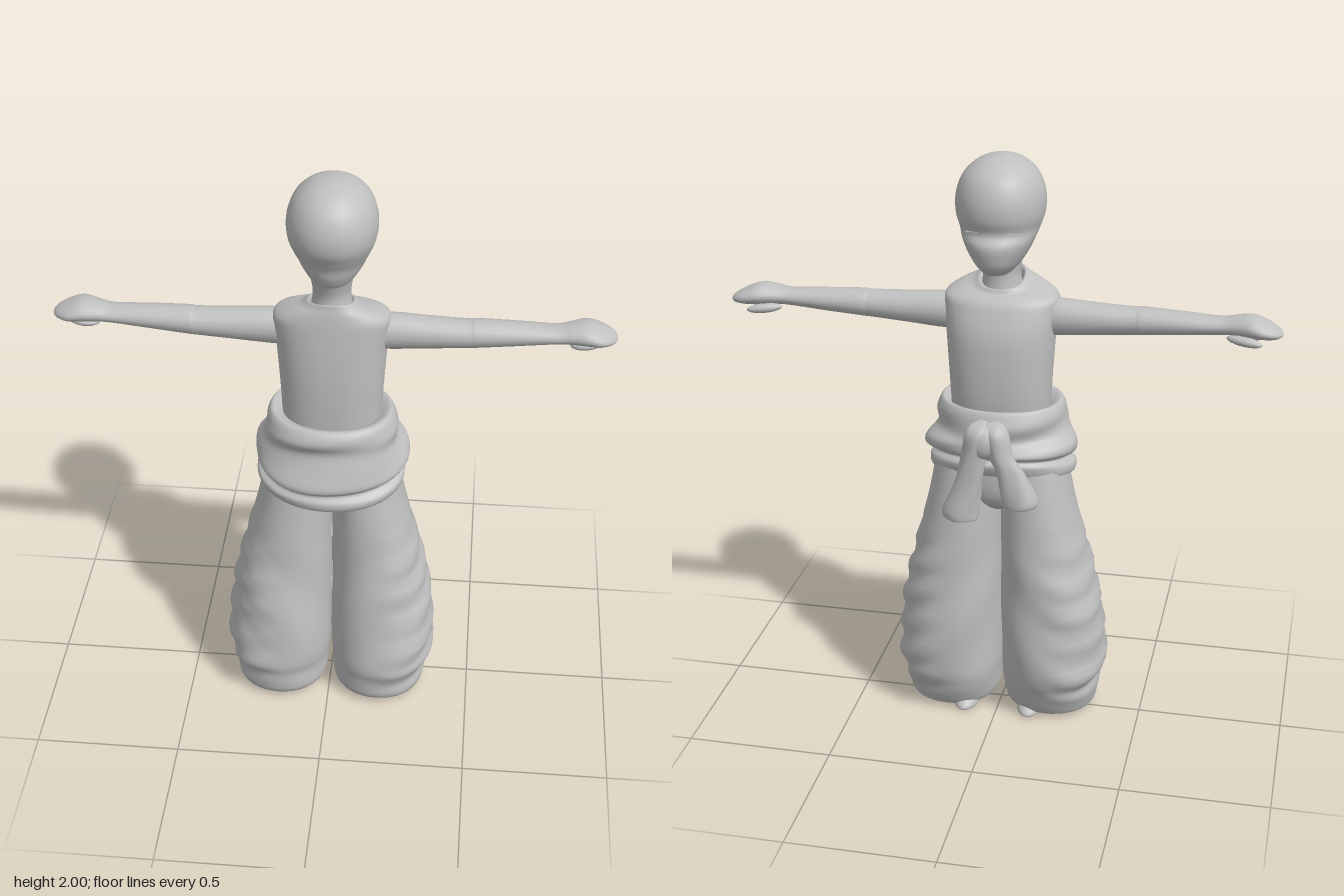
import * as THREE from 'three';
import { mergeVertices } from 'three/addons/utils/BufferGeometryUtils.js';

const cloth = new THREE.MeshStandardMaterial({ color: 0xc0c0c0, side: THREE.DoubleSide });
cloth.name = 'plain grey';

// Smooth skin over rings [y, cx, cz, rx, rz, tilt], listed along the profile.
// power squares the cross-section, fold(angle, y) adds cloth creases.
function loft(rings, { sides = 36, steps = 4, power = 2, fold = () => 0 } = {}) {
  const rows = [];
  const cr = (a, b, c, d, t) =>
    0.5 * (2 * b + (c - a) * t + (2 * a - 5 * b + 4 * c - d) * t * t + (3 * b - a - 3 * c + d) * t * t * t);
  const at = i => rings[Math.min(Math.max(i, 0), rings.length - 1)];
  for (let i = 0; i < rings.length - 1; i++)
    for (let s = 0; s < steps; s++)
      rows.push([0, 1, 2, 3, 4, 5].map(k =>
        cr(at(i - 1)[k] ?? 0, at(i)[k] ?? 0, at(i + 1)[k] ?? 0, at(i + 2)[k] ?? 0, s / steps)));
  rows.push([...rings[rings.length - 1], 0].slice(0, 6));
  const pos = [], idx = [];
  const shape = v => Math.sign(v) * Math.abs(v) ** (2 / power);
  rows.forEach(([y, cx, cz, rx, rz, tilt], i) => {
    for (let j = 0; j < sides; j++) {
      const a = (j / sides) * Math.PI * 2, f = fold(a, y);
      const dz = (Math.max(rz, 0) + f) * shape(Math.sin(a));
      pos.push(cx + (Math.max(rx, 0) + f) * shape(Math.cos(a)), y + tilt * dz, cz + dz);
      if (i < rows.length - 1) {
        const p = i * sides + j, q = i * sides + ((j + 1) % sides);
        idx.push(p, p + sides, q, q, p + sides, q + sides);
      }
    }
  });
  const g = new THREE.BufferGeometry();
  g.setAttribute('position', new THREE.Float32BufferAttribute(pos, 3));
  g.setIndex(idx);
  g.computeVertexNormals();
  return g;
}

// Mirrored copy across x with its corners put back in order
function mirror(g) {
  const m = g.clone().scale(-1, 1, 1);
  const n = m.index.array;
  for (let i = 0; i < n.length; i += 3) [n[i], n[i + 1]] = [n[i + 1], n[i]];
  m.computeVertexNormals();
  return m;
}

export function createModel() {
  const model = new THREE.Group();
  const add = (name, geometry) => {
    const mesh = new THREE.Mesh(geometry, cloth);
    mesh.name = name;
    model.add(mesh);
  };
  const pair = (name, g) => {
    add(name + 'Left', g);
    add(name + 'Right', mirror(g));
  };

  // Bald head, facing -z, with a flat brow and forward chin
  add('head', loft([
    [1.635, 0, -0.045, 0.005, 0.01], [1.637, 0, -0.045, 0.045, 0.075, 0.1], [1.66, 0, -0.045, 0.072, 0.125],
    [1.7, 0, -0.04, 0.098, 0.146], [1.74, 0, -0.036, 0.117, 0.153], [1.775, 0, -0.017, 0.13, 0.152],
    [1.82, 0, -0.013, 0.143, 0.17], [1.88, 0, -0.012, 0.143, 0.17], [1.94, 0, -0.012, 0.12, 0.145],
    [1.98, 0, -0.008, 0.077, 0.095], [1.997, 0, -0.005, 0.03, 0.037], [2, 0, -0.005, 0, 0],
  ], { power: 2.1 }));
  add('neck', loft([
    [1.53, 0, 0.01, 0.075, 0.08], [1.6, 0, 0.005, 0.062, 0.067], [1.65, 0, 0.005, 0.066, 0.075],
    [1.72, 0, 0.01, 0.08, 0.1],
  ]));

  // Narrow closed eyes as thin lens plates
  const lens = new THREE.Shape();
  lens.moveTo(-0.026, 0);
  lens.quadraticCurveTo(0, 0.004, 0.026, 0.003);
  lens.quadraticCurveTo(0, -0.014, -0.026, 0);
  const eye = mergeVertices(new THREE.ExtrudeGeometry(lens, { depth: 0.008, bevelEnabled: false }));
  eye.rotateY(Math.PI - 0.42).translate(0.062, 1.779, -0.148);
  pair('eye', eye);

  // Sleeveless top with a raised, sloping collar
  add('top', loft([
    [1.1, 0, -0.005, 0.165, 0.13], [1.2, 0, -0.01, 0.168, 0.14], [1.32, 0, -0.01, 0.175, 0.142],
    [1.42, 0, -0.008, 0.182, 0.136], [1.5, 0, 0.002, 0.19, 0.12], [1.535, 0, 0.008, 0.186, 0.11, 0.05],
    [1.56, 0, 0.015, 0.145, 0.098, 0.15], [1.575, 0, 0.018, 0.1, 0.09, 0.25],
    [1.59, 0, 0.02, 0.076, 0.085, 0.28], [1.58, 0, 0.02, 0.066, 0.075, 0.28], [1.54, 0, 0.015, 0.06, 0.065, 0.2],
  ], { power: 2.4 }));

  // Outstretched arm, lofted upright then laid along +x (cx is minus the height)
  const arm = loft([
    [0.13, -1.465, 0, 0.06, 0.055], [0.2, -1.467, -0.003, 0.062, 0.056], [0.32, -1.468, -0.003, 0.053, 0.055],
    [0.44, -1.47, -0.003, 0.046, 0.052], [0.47, -1.472, -0.004, 0.046, 0.053], [0.6, -1.475, -0.009, 0.038, 0.049],
    [0.72, -1.478, -0.012, 0.029, 0.046], [0.77, -1.483, -0.015, 0.032, 0.053], [0.82, -1.485, -0.02, 0.035, 0.066],
    [0.865, -1.477, -0.022, 0.028, 0.065], [0.9, -1.47, -0.025, 0.018, 0.045], [0.917, -1.467, -0.027, 0.007, 0.02],
    [0.92, -1.467, -0.027, 0, 0],
  ], { sides: 20 }).rotateZ(-Math.PI / 2);
  pair('arm', arm);
  // Thumb and curled fingers under the palm
  const bump = (len, thick, deep, x, y, z, turn, dip) =>
    new THREE.SphereGeometry(1, 16, 10).scale(len, thick, deep).rotateY(turn).rotateZ(dip).translate(x, y, z);
  pair('thumb', bump(0.06, 0.016, 0.02, 0.8, 1.445, -0.062, 0.2, -0.1));
  pair('fingers', bump(0.055, 0.018, 0.035, 0.82, 1.451, -0.008, 0, 0.15));

  // Baggy trouser legs with diagonal creases, tucked in at the hem
  const legRings = [
    [0.1, 0.12, 0.02, 0.06, 0.08], [0.035, 0.15, 0.03, 0.11, 0.125], [0.014, 0.175, 0.038, 0.145, 0.15],
    [0.04, 0.176, 0.04, 0.163, 0.172], [0.11, 0.176, 0.028, 0.168, 0.19], [0.19, 0.184, 0.025, 0.181, 0.208],
    [0.4, 0.175, 0.01, 0.173, 0.195], [0.6, 0.154, 0.002, 0.152, 0.176], [0.8, 0.128, 0, 0.126, 0.163],
    [0.95, 0.11, 0, 0.115, 0.15],
  ];
  const creases = seed => (a, y) => {
    const amount = 0.009 * THREE.MathUtils.smoothstep(y, 0.04, 0.12) * (1 - THREE.MathUtils.smoothstep(y, 0.5, 0.8));
    const wave = Math.sin(y * 27 + 2.2 * Math.sin(a + seed) + seed);
    return amount * (1 - 2 * Math.abs(wave) ** 3) * Math.max(0, Math.cos(a)) ** 0.5
      + 0.5 * amount * Math.sin(3 * a + y * 18 + seed) * Math.abs(Math.sin(a));
  };
  const leg = seed => loft(legRings, { steps: 6, sides: 40, power: 2.15, fold: creases(seed) });
  add('trouserLegLeft', leg(0.6));
  add('trouserLegRight', mirror(leg(2.3)));
  add('trouserSeat', loft([
    [0.76, 0, 0, 0, 0], [0.79, 0, 0, 0.06, 0.09], [0.86, 0, 0, 0.17, 0.145], [1, 0, 0, 0.2, 0.15],
  ]));

  // Feet just showing beneath the hems
  const foot = loft([
    [0, 0.115, -0.03, 0, 0], [0.001, 0.115, -0.03, 0.042, 0.095], [0.015, 0.115, -0.03, 0.05, 0.105],
    [0.04, 0.115, -0.02, 0.045, 0.085], [0.08, 0.11, 0.01, 0.04, 0.05], [0.16, 0.11, 0.02, 0.04, 0.045],
  ], { sides: 24 });
  pair('foot', foot);

  // Jacket wrapped round the hips, hanging lower at +z
  add('hipWrap', loft([
    [0.95, 0, 0.01, 0.19, 0.14, -0.2], [0.915, 0, 0.015, 0.23, 0.175, -0.2], [0.912, 0, 0.02, 0.247, 0.192, -0.2],
    [0.945, 0, 0.02, 0.25, 0.203, -0.2], [0.967, 0, 0.018, 0.228, 0.188, -0.2], [0.99, 0, 0.015, 0.258, 0.207, -0.16],
    [1.03, 0, 0.008, 0.254, 0.194, -0.1], [1.075, 0, 0.008, 0.224, 0.178, 0], [1.12, 0, 0.012, 0.221, 0.187, 0],
    [1.155, 0, 0.012, 0.212, 0.178, 0], [1.172, 0, 0.008, 0.196, 0.16, 0], [1.15, 0, 0, 0.16, 0.13, 0],
  ], {
    sides: 48, power: 2.1,
    fold: (a, y) => 0.006 * Math.sin(3 * a + y * 40) * THREE.MathUtils.smoothstep(y, 0.9, 0.98)
      * (1 - THREE.MathUtils.smoothstep(y, 1.1, 1.16)),
  }));

  // Knotted sleeves hanging at -z, with open flared cuffs
  const sleeve = (x, bottom, lean) => loft([
    [bottom + 0.07, x, -0.195, 0.02, 0.015], [bottom + 0.012, x, -0.197, 0.042, 0.03], [bottom, x, -0.197, 0.055, 0.04],
    [bottom + 0.03, x, -0.197, 0.06, 0.043], [bottom + 0.12, x - lean * 0.4, -0.197, 0.05, 0.036],
    [1.04, x - lean * 0.8, -0.2, 0.042, 0.036], [1.11, x - lean, -0.198, 0.042, 0.038],
    [1.14, x - lean * 1.1, -0.185, 0.03, 0.025], [1.15, x - lean * 1.1, -0.175, 0, 0],
  ], { sides: 20, fold: (a, y) => 0.003 * Math.sin(4 * a + y * 25) });
  add('sleeveTailLeft', sleeve(0.1, 0.8, 0.06));
  add('sleeveTailRight', sleeve(-0.1, 0.86, -0.08));
  add('knot', new THREE.SphereGeometry(1, 20, 14).scale(0.05, 0.06, 0.04).rotateZ(0.4).translate(0.02, 1.08, -0.2));

  return model;
}
